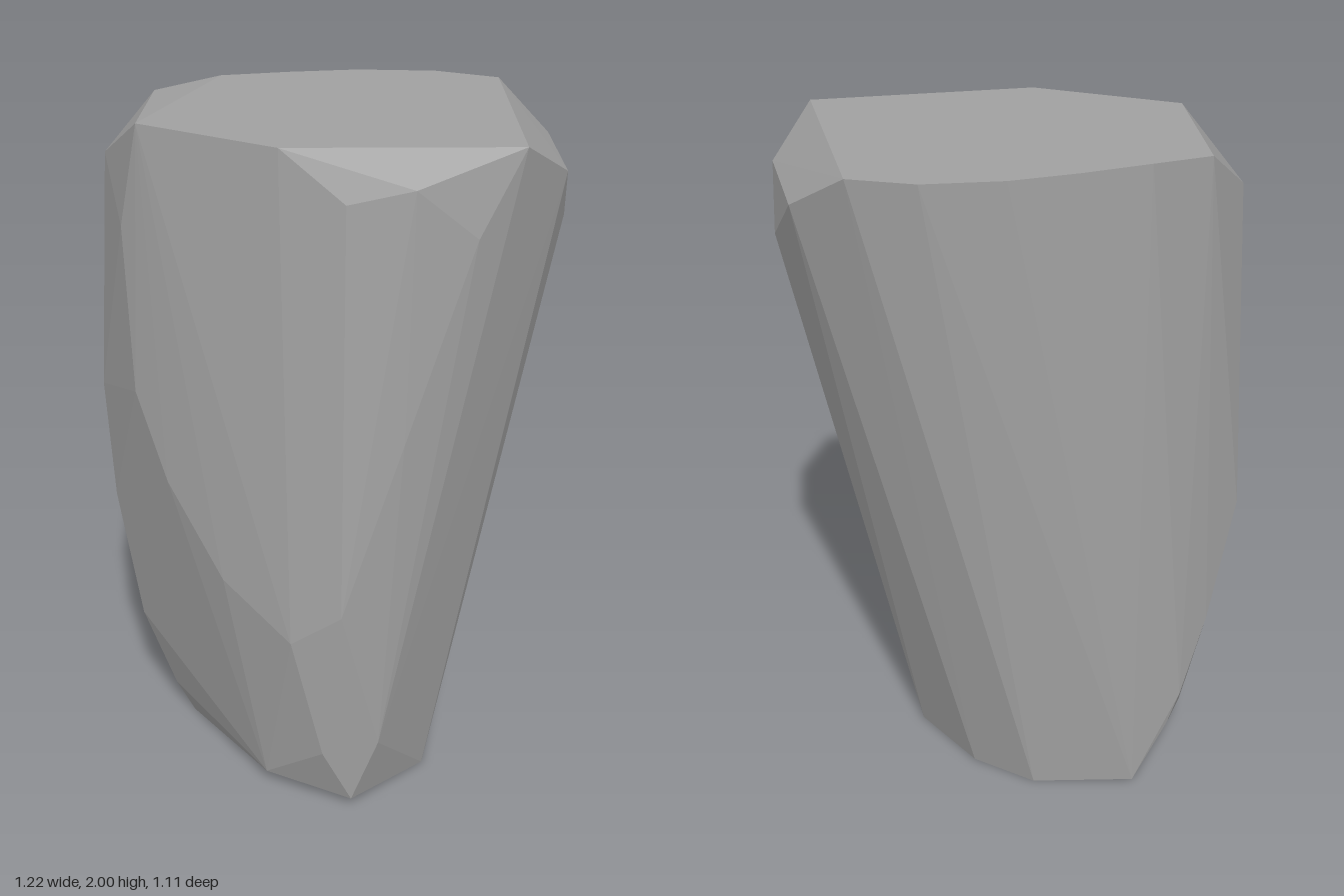
import * as THREE from 'three';
import { ConvexGeometry } from 'three/addons/geometries/ConvexGeometry.js';

// Corners of the chipped stone, grouped by zone: [x, y, z]
const topRim = [
  [-0.57, 2, -0.14], [-0.16, 2, -0.48], [0.04, 2, -0.42], [0.23, 2, -0.35],
  [0.43, 2, -0.23], [0.56, 2, -0.08], [0.27, 2, 0.54], [-0.32, 2, 0.24],
];
const topChips = [
  [-0.05, 1.92, 0.51], [0.46, 1.88, 0.45], [0.61, 1.88, 0.12], [0.53, 1.71, 0.34],
  [-0.37, 1.98, -0.49], [-0.56, 1.84, -0.42], [0.12, 1.77, 0.55], [-0.2, 1.87, 0.4],
];
const belly = [
  [-0.605, 1.69, -0.2], [-0.61, 1.2, -0.14], [-0.61, 1.12, -0.41], [-0.535, 0.85, -0.505],
  [-0.6, 0.75, -0.38], [-0.57, 0.95, -0.02], [-0.49, 0.7, 0.18], [-0.38, 0.57, 0.4],
  [-0.27, 0.68, 0.505], [-0.09, 1.2, 0.535], [-0.55, 0.33, -0.33], [-0.4, 0.5, -0.54],
  [-0.29, 0.27, -0.555],
];
const foot = [
  [-0.15, 0.22, 0.51], [-0.31, 0.2, 0.46], [-0.23, 0.03, 0.49], [-0.4, 0.04, 0.26],
  [-0.48, 0.09, -0.25], [-0.42, 0.12, -0.42], [-0.25, 0.17, -0.545],
  [0.07, 0, 0.39], [0.2, 0, 0.13], [0.2, 0, -0.15], [0.12, 0, -0.35],
  [-0.13, 0, -0.53], [-0.44, 0, -0.2],
];

export function createModel() {
  const group = new THREE.Group();
  group.name = 'rockPillar';

  const stone = new THREE.MeshStandardMaterial({ color: 0xa0a0a0 });
  stone.name = 'grey stone';

  // Faceted leaning stone as one convex body with flat faces
  const corners = [...topRim, ...topChips, ...belly, ...foot].map((p) => new THREE.Vector3(...p));
  const rock = new THREE.Mesh(new ConvexGeometry(corners), stone);
  rock.name = 'rock';
  group.add(rock);
  return group;
}
